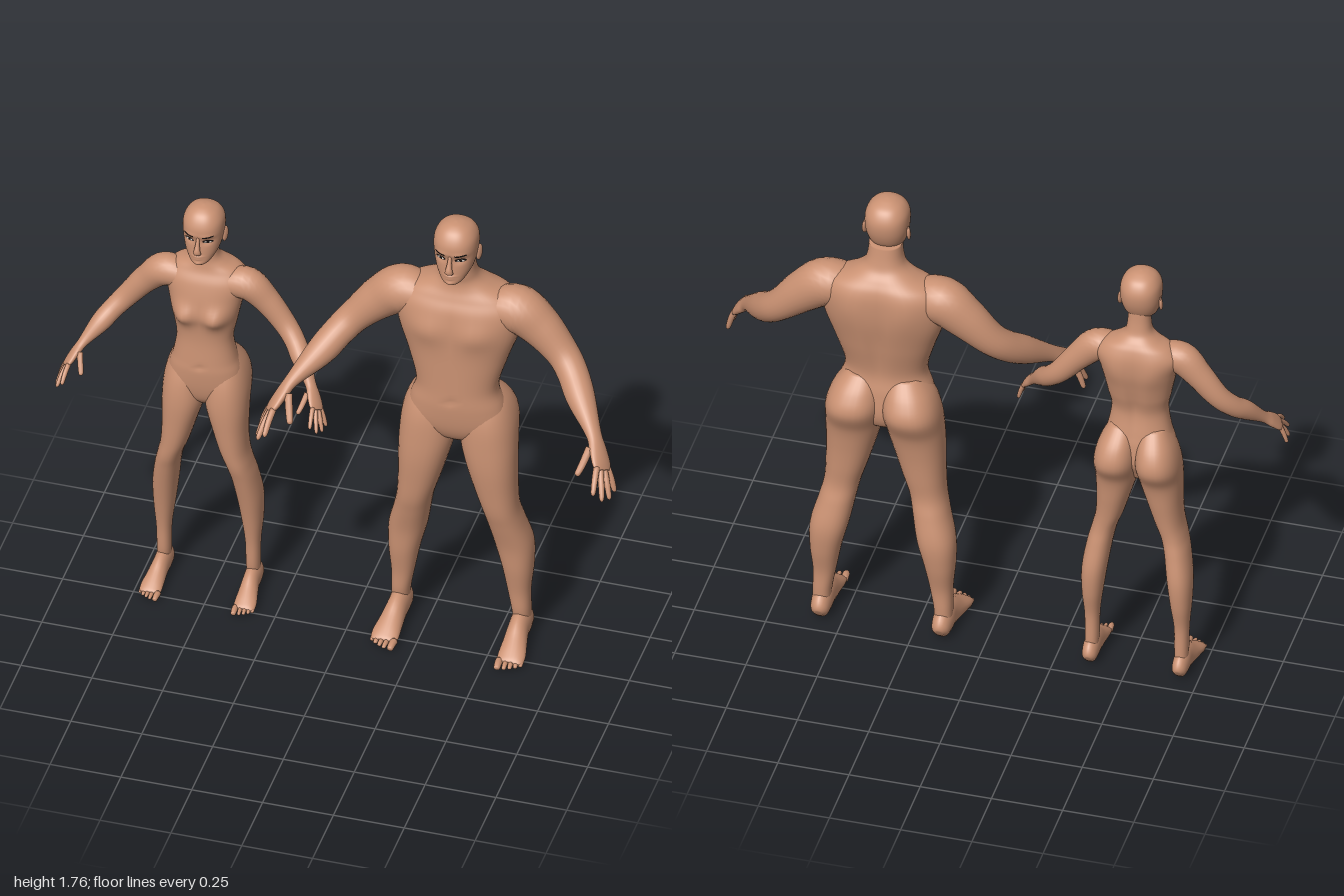
import * as THREE from 'three';

const paint = (name, color) => Object.assign(new THREE.MeshStandardMaterial({ color }), { name });
const skin = paint('skin', 0xcb9273);
const dark = paint('dark hair', 0x17110f);
const white = paint('eye white', 0xd8d0c8);
const V = (x, y, z) => new THREE.Vector3(x, y, z);

// Smoothly fills in rows between the given key rows
function refine(rows, steps) {
  const out = [], last = rows.length - 1;
  for (let i = 0; i < last; i++) {
    const [a, b, c, d] = [rows[Math.max(i - 1, 0)], rows[i], rows[i + 1], rows[Math.min(i + 2, last)]];
    for (let k = 0; k < steps; k++) {
      const t = k / steps;
      out.push(b.map((p, j) => p + 0.5 * t * (c[j] - a[j] +
        t * (2 * a[j] - 5 * p + 4 * c[j] - d[j] + t * (3 * (p - c[j]) + d[j] - a[j])))));
    }
  }
  out.push(rows[last]);
  return out;
}

// Joins closed rings into a capped smooth surface
function surface(name, rings) {
  const n = rings[0].length, pts = rings.flat(), idx = [];
  for (let i = 0; i < rings.length - 1; i++)
    for (let j = 0; j < n; j++) {
      const a = i * n + j, b = i * n + (j + 1) % n;
      idx.push(a, b, b + n, a, b + n, a + n);
    }
  for (const [r, flip] of [[0, true], [rings.length - 1, false]]) {
    const c = V(0, 0, 0);
    rings[r].forEach(p => c.addScaledVector(p, 1 / n));
    const m = pts.push(c) - 1;
    for (let j = 0; j < n; j++) {
      const a = r * n + j, b = r * n + (j + 1) % n;
      flip ? idx.push(b, a, m) : idx.push(a, b, m);
    }
  }
  const g = new THREE.BufferGeometry().setFromPoints(pts);
  g.setIndex(idx);
  g.computeVertexNormals();
  const mesh = new THREE.Mesh(g, skin);
  mesh.name = name;
  return mesh;
}

const soft = v => Math.sign(v) * Math.abs(v) ** 0.88;

// Upright form: rows [y, centreX, halfWidth, zFront, zBack]; bumps [x, y, z, rx, ry, push along z]
function upright(name, rows, bumps = [], steps = 6, n = 44) {
  return surface(name, refine(rows, steps).map(([y, cx, w, zf, zb]) =>
    Array.from({ length: n }, (_, j) => {
      const t = j / n * Math.PI * 2;
      const p = V(cx + w * soft(Math.cos(t)), y, (zf + zb) / 2 - (zf - zb) / 2 * soft(Math.sin(t)));
      let push = 0;
      for (const [bx, by, bz, rx, ry, d] of bumps)
        push += d * Math.exp(-(((Math.abs(p.x) - bx) / rx) ** 2) - ((y - by) / ry) ** 2 - ((p.z - bz) / 0.06) ** 2);
      p.z += push;
      return p;
    })));
}

// Limb along a path: rows [x, y, z, wideRadius, thinRadius]; wide points along the broad side
function limb(name, rows, wide, side = 1, steps = 5, n = 20, floor = -9) {
  const r = refine(rows, steps), w = V(wide[0] * side, wide[1], wide[2]);
  const c = r.map(p => V(p[0] * side, p[1], p[2]));
  return surface(name, r.map((p, i) => {
    const t = c[Math.min(i + 1, c.length - 1)].clone().sub(c[Math.max(i - 1, 0)]).normalize();
    const a = w.clone().addScaledVector(t, -w.dot(t)).normalize();
    const b = t.clone().cross(a);
    return Array.from({ length: n }, (_, j) => {
      const q = j / n * Math.PI * 2;
      const v = c[i].clone().addScaledVector(a, Math.cos(q) * p[3]).addScaledVector(b, Math.sin(q) * p[4]);
      v.y = Math.max(v.y, floor);
      return v;
    });
  }));
}

// Rounded finger or toe from a to b
function digit(name, a, b, r, side, wide, bend = 0) {
  const at = (t, k) => [...a.map((p, i) => p + (b[i] - p) * t + (i === 1 ? bend * 4 * t * (1 - t) : 0)), r * k, r * k];
  return limb(name, [at(0, 1), at(0.5, 0.95), at(0.88, 0.8), at(0.97, 0.5), at(1, 0.1)], wide, side, 3, 10, 0);
}

function makeHead() {
  const head = new THREE.Group();
  head.name = 'head';
  const skull = upright('skull', [
    [1.545, 0, 0.02, -0.012, -0.05], [1.558, 0, 0.038, -0.002, -0.09], [1.585, 0, 0.056, -0.003, -0.13],
    [1.61, 0, 0.066, -0.004, -0.152], [1.65, 0, 0.074, -0.006, -0.168], [1.69, 0, 0.076, -0.003, -0.173],
    [1.72, 0, 0.071, -0.012, -0.165], [1.745, 0, 0.054, -0.03, -0.146], [1.76, 0, 0.028, -0.055, -0.115],
    [1.765, 0, 0.003, -0.08, -0.09]],
  [[0.034, 1.652, -0.015, 0.018, 0.012, -0.008], [0.03, 1.674, 0, 0.03, 0.008, 0.004],
    [0, 1.586, 0, 0.018, 0.005, 0.006], [0, 1.576, 0, 0.015, 0.004, 0.005], [0, 1.556, 0, 0.015, 0.01, 0.006]], 7, 56);
  const nose = limb('nose', [[0, 1.668, -0.01, 0.006, 0.007], [0, 1.64, 0, 0.008, 0.009],
    [0, 1.615, 0.008, 0.013, 0.011], [0, 1.605, 0.004, 0.015, 0.008], [0, 1.6, -0.004, 0.009, 0.005]], [1, 0, 0]);
  head.add(skull, nose);

  // Thin painted shapes laid onto the face
  const ray = new THREE.Raycaster();
  skull.material = new THREE.MeshStandardMaterial({ side: THREE.DoubleSide });
  const decal = (name, geo, x, y, tilt, lift, mat) => {
    geo.rotateZ(tilt).translate(x, y, 0);
    const p = geo.attributes.position;
    for (let i = 0; i < p.count; i++) {
      ray.set(V(p.getX(i), p.getY(i), 1), V(0, 0, -1));
      const hit = ray.intersectObject(skull)[0];
      p.setZ(i, (hit ? hit.point.z : -0.02) + lift);
    }
    geo.computeVertexNormals();
    const m = new THREE.Mesh(geo, mat);
    m.name = name;
    head.add(m);
  };
  const oval = (w, h) => new THREE.CircleGeometry(1, 20).scale(w, h, 1);
  for (const s of [-1, 1]) {
    decal('eyebrow', new THREE.PlaneGeometry(0.038, 0.006, 8, 1), s * 0.036, 1.675, s * 0.1, 0.002, dark);
    decal('eyelashes', oval(0.019, 0.008), s * 0.035, 1.653, 0, 0.002, dark);
    decal('eyeWhite', oval(0.013, 0.004), s * 0.035, 1.651, 0, 0.003, white);
    decal('iris', oval(0.005, 0.005), s * 0.035, 1.652, 0, 0.004, dark);
    const ear = new THREE.Mesh(new THREE.SphereGeometry(1, 16, 12), skin);
    ear.name = 'ear';
    ear.scale.set(0.008, 0.03, 0.017);
    ear.position.set(s * 0.076, 1.638, -0.1);
    ear.rotation.set(-0.2, -s * 0.35, 0);
    head.add(ear);
  }
  skull.material = skin;
  return head;
}

// Hand parts relative to the wrist, as offsets from it
const spread = [-0.485, 0.485, 0.73];
const knuckles = [0.055, -0.08, 0.078];
const fingers = [['indexFinger', 0.029, [0.05, -0.13, 0.175]], ['middleFinger', 0.01, [0.078, -0.158, 0.162]],
  ['ringFinger', -0.009, [0.092, -0.178, 0.118]], ['littleFinger', -0.027, [0.096, -0.18, 0.068]]];

function makePerson(name, d) {
  const person = new THREE.Group();
  person.name = name;
  person.add(upright('torso', d.torso.map(([y, ...r]) => [y, 0, ...r]), d.bumps));
  const head = makeHead();
  head.scale.set(...d.headScale);
  head.position.set(...d.headShift);
  person.add(head);

  for (const s of [1, -1]) {
    person.add(upright('leg', d.leg.map(([y, x, ...r]) => [y, x * s, ...r]), [], 6, 32));

    // Arm running on into the palm
    const wrist = d.arm[d.arm.length - 1], k = d.hand;
    const at = o => o.map((v, i) => wrist[i] + v * k);
    person.add(limb('arm', [...d.arm,
      [...at([0.026, -0.036, 0.035]), 0.038 * k, 0.021 * k], [...at([0.048, -0.07, 0.068]), 0.043 * k, 0.017 * k],
      [...at([0.06, -0.086, 0.085]), 0.036 * k, 0.01 * k]], spread, s, 6, 24));
    for (const [n, off, tip] of fingers)
      person.add(digit(n, at(knuckles.map((v, i) => v + spread[i] * off)), at(tip), 0.0115 * k, s, spread, 0.008 * k));
    person.add(digit('thumb', at([0.002, -0.025, 0.05]), at([-0.025, -0.1, 0.12]), 0.014 * k, s, [1, 0, 0], -0.006 * k));

    // Foot and toes
    const foot = new THREE.Group();
    foot.name = 'foot';
    foot.add(limb('footBody', [[0.212, 0.035, -0.203, 0.014, 0.018], [0.212, 0.042, -0.19, 0.03, 0.042],
      [0.213, 0.055, -0.15, 0.036, 0.06], [0.214, 0.052, -0.1, 0.036, 0.058], [0.218, 0.036, -0.045, 0.042, 0.042],
      [0.222, 0.022, 0.005, 0.048, 0.027], [0.222, 0.015, 0.032, 0.046, 0.017], [0.222, 0.012, 0.042, 0.04, 0.01]],
    [1, 0, 0], s, 5, 24, 0));
    for (let i = 0; i < 5; i++) {
      const x = [0.186, 0.209, 0.227, 0.244, 0.259][i], z = [0.078, 0.074, 0.066, 0.056, 0.044][i];
      foot.add(digit('toe', [x, 0.014, z - 0.045], [x + 0.003, 0.009, z], i ? 0.0095 : 0.014, s, [1, 0, 0], 0.003));
    }
    foot.scale.set(...d.footScale);
    foot.position.set(d.footShift[0] * s, 0, d.footShift[1]);
    person.add(foot);
  }
  person.position.x = d.x;
  return person;
}

const large = {
  x: 0.365, hand: 1, headScale: [1, 1, 1], headShift: [0, 0, 0], footScale: [1, 1, 1], footShift: [0, 0],
  torso: [[0.84, 0.04, -0.07, -0.16], [0.87, 0.12, -0.04, -0.19], [0.92, 0.18, -0.02, -0.205], [1, 0.165, -0.01, -0.2],
    [1.08, 0.143, -0.01, -0.19], [1.2, 0.175, -0.01, -0.215], [1.31, 0.212, -0.008, -0.235], [1.4, 0.222, -0.018, -0.238],
    [1.45, 0.19, -0.04, -0.23], [1.485, 0.12, -0.055, -0.21], [1.515, 0.078, -0.06, -0.187], [1.55, 0.062, -0.055, -0.175],
    [1.6, 0.057, -0.055, -0.165]],
  bumps: [[0.085, 1.33, -0.01, 0.065, 0.05, 0.014], [0, 1.33, 0, 0.02, 0.08, -0.006], [0, 1.24, -0.22, 0.025, 0.18, 0.014],
    [0.1, 1.38, -0.23, 0.05, 0.08, -0.008], [0, 1.04, 0, 0.012, 0.012, -0.006]],
  leg: [[0.06, 0.214, 0.03, -0.12, -0.186], [0.12, 0.212, 0.033, -0.105, -0.188], [0.2, 0.205, 0.04, -0.1, -0.19],
    [0.3, 0.2, 0.054, -0.085, -0.21], [0.4, 0.187, 0.066, -0.075, -0.218], [0.5, 0.165, 0.063, -0.052, -0.2],
    [0.57, 0.15, 0.063, -0.035, -0.185], [0.65, 0.135, 0.073, -0.025, -0.19], [0.75, 0.12, 0.087, -0.016, -0.2],
    [0.84, 0.108, 0.097, -0.016, -0.218], [0.93, 0.1, 0.098, -0.022, -0.257], [1, 0.09, 0.083, -0.04, -0.232],
    [1.06, 0.075, 0.05, -0.07, -0.18]],
  arm: [[0.11, 1.39, -0.12, 0.07, 0.065], [0.2, 1.4, -0.13, 0.082, 0.085], [0.28, 1.345, -0.13, 0.07, 0.075],
    [0.36, 1.265, -0.115, 0.058, 0.058], [0.41, 1.212, -0.08, 0.054, 0.054], [0.46, 1.157, -0.015, 0.05, 0.05],
    [0.53, 1.09, 0.075, 0.031, 0.025]],
};

const small = {
  x: -0.527, hand: 0.75, headScale: [0.93, 0.955, 0.93], headShift: [0, -0.0455, -0.01],
  footScale: [0.8, 0.85, 0.85], footShift: [-0.012, -0.028],
  torso: [[0.795, 0.025, -0.08, -0.15], [0.83, 0.09, -0.05, -0.17], [0.88, 0.135, -0.035, -0.195], [0.95, 0.125, -0.028, -0.195],
    [1, 0.11, -0.03, -0.187], [1.08, 0.098, -0.035, -0.175], [1.15, 0.11, -0.032, -0.19], [1.2, 0.12, -0.027, -0.2],
    [1.26, 0.133, -0.03, -0.21], [1.32, 0.148, -0.045, -0.21], [1.36, 0.12, -0.065, -0.2], [1.385, 0.075, -0.072, -0.185],
    [1.41, 0.048, -0.075, -0.165], [1.45, 0.04, -0.075, -0.155], [1.5, 0.04, -0.07, -0.15]],
  bumps: [[0.058, 1.195, -0.035, 0.04, 0.04, 0.03], [0, 1.12, -0.19, 0.02, 0.16, 0.012], [0.07, 1.28, -0.21, 0.04, 0.06, -0.007],
    [0, 0.98, -0.03, 0.01, 0.01, -0.005]],
  leg: [[0.05, 0.158, 0.022, -0.13, -0.182], [0.1, 0.157, 0.024, -0.115, -0.182], [0.2, 0.157, 0.026, -0.11, -0.182],
    [0.3, 0.155, 0.036, -0.095, -0.2], [0.4, 0.149, 0.043, -0.075, -0.205], [0.5, 0.135, 0.043, -0.052, -0.188],
    [0.56, 0.121, 0.043, -0.037, -0.178], [0.62, 0.104, 0.048, -0.03, -0.18], [0.7, 0.09, 0.058, -0.025, -0.19],
    [0.8, 0.077, 0.073, -0.022, -0.207], [0.88, 0.073, 0.075, -0.03, -0.247], [0.95, 0.067, 0.064, -0.05, -0.23],
    [1.02, 0.055, 0.04, -0.08, -0.172]],
  arm: [[0.07, 1.305, -0.11, 0.05, 0.048], [0.145, 1.313, -0.115, 0.055, 0.058], [0.21, 1.255, -0.12, 0.045, 0.048],
    [0.275, 1.175, -0.115, 0.038, 0.04], [0.32, 1.125, -0.09, 0.036, 0.036], [0.355, 1.085, -0.05, 0.034, 0.034],
    [0.4, 1.03, 0, 0.022, 0.018]],
};

export function createModel() {
  const model = new THREE.Group();
  model.name = 'twoFigures';
  model.add(makePerson('largeFigure', large), makePerson('smallFigure', small));
  return model;
}
